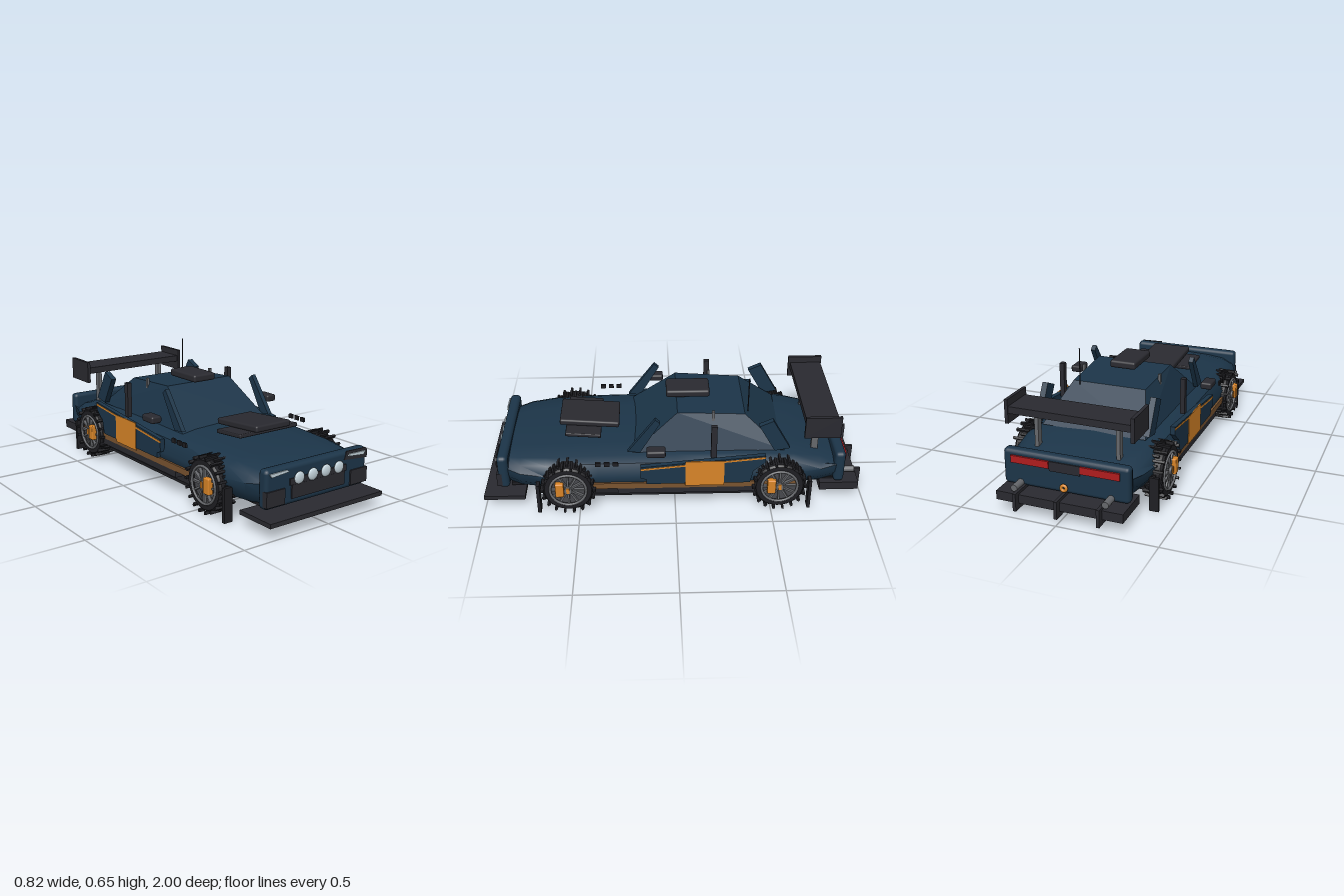
import * as THREE from 'three';
import { toCreasedNormals } from 'three/addons/utils/BufferGeometryUtils.js';
import { RoundedBoxGeometry } from 'three/addons/geometries/RoundedBoxGeometry.js';
import { ConvexGeometry } from 'three/addons/geometries/ConvexGeometry.js';

const paint = (name, color) => {
  const m = new THREE.MeshStandardMaterial({ color });
  m.name = name;
  return m;
};

export function createModel() {
  const blue = paint('deep blue', 0x1c3549), black = paint('charcoal', 0x2a2a30);
  const rubber = paint('rubber', 0x1f1f23), orange = paint('orange', 0xd98528);
  const brown = paint('bronze brown', 0x7a5430), grey = paint('metal grey', 0x66686c);
  const rimGrey = paint('rim grey', 0x48494e), lamp = paint('lamp white', 0xc6d6de);
  const red = paint('tail red', 0xb01c1e);
  const car = new THREE.Group();
  car.name = 'rallyCar';

  const add = (name, geo, mat, x = 0, y = 0, z = 0, parent = car) => {
    const m = new THREE.Mesh(geo, mat);
    m.name = name;
    m.position.set(x, y, z);
    parent.add(m);
    return m;
  };
  // box given by its min and max on each axis
  const span = (name, mat, x0, x1, y0, y1, z0, z1, r = 0) => {
    const s = [x1 - x0, y1 - y0, z1 - z0];
    const geo = r ? new RoundedBoxGeometry(...s, 2, r) : new THREE.BoxGeometry(...s);
    return add(name, geo, mat, (x0 + x1) / 2, (y0 + y1) / 2, (z0 + z1) / 2);
  };
  // the same box on both sides
  const pair = (name, mat, x0, x1, ...rest) => {
    span(name + 'Left', mat, x0, x1, ...rest);
    span(name + 'Right', mat, -x1, -x0, ...rest);
  };
  // side outline of [z, y] points, given a thickness along x
  const sidePanel = (name, mat, pts, x, thick) => {
    const geo = new THREE.ExtrudeGeometry(new THREE.Shape(pts.map(p => new THREE.Vector2(...p))),
      { depth: thick, bevelEnabled: false });
    geo.translate(0, 0, -thick / 2).rotateY(-Math.PI / 2);
    add(name, geo, mat, x);
  };

  // body shell: cross-sections [z, half width, top, bottom] from nose to tail
  const stations = [[0.875, 0.305, 0.275, 0.13], [0.8, 0.34, 0.29, 0.12], [0.67, 0.362, 0.3, 0.115],
    [0.4, 0.368, 0.31, 0.11], [0, 0.37, 0.315, 0.11], [-0.4, 0.37, 0.315, 0.11],
    [-0.62, 0.362, 0.3, 0.115], [-0.76, 0.34, 0.275, 0.12], [-0.85, 0.315, 0.25, 0.13]];
  const ring = ([z, w, t, b]) => {
    const half = [[0.5, t - 0.004], [0.8, t - 0.015], [0.92, t - 0.035], [1, b + 0.1], [0.98, b + 0.05], [0.86, b]];
    const left = half.map(([k, y]) => [-k * w, y, z]);
    const right = half.map(([k, y]) => [k * w, y, z]).reverse();
    return [[0, t + 0.002, z], ...left, ...right];
  };
  const n = 13, last = (stations.length - 1) * n, idx = [];
  for (let i = 0; i < stations.length - 1; i++) for (let j = 0; j < n; j++) {
    const a = i * n + j, b = i * n + (j + 1) % n;
    idx.push(a, a + n, b, b, a + n, b + n);
  }
  for (let j = 1; j < n - 1; j++) idx.push(0, j, j + 1, last, last + j + 1, last + j);
  const shell = new THREE.BufferGeometry();
  shell.setAttribute('position', new THREE.Float32BufferAttribute(stations.flatMap(s => ring(s).flat()), 3));
  shell.setIndex(idx);
  add('bodyShell', toCreasedNormals(shell, 0.7), blue);

  // cabin
  const cabin = [];
  for (const s of [-1, 1]) for (const [x, y, z] of [[0.275, 0.3, 0.22], [0.205, 0.495, -0.015],
    [0.195, 0.475, -0.365], [0.275, 0.3, -0.57]]) cabin.push(new THREE.Vector3(s * x, y, z));
  add('cabin', new ConvexGeometry(cabin), blue);
  span('roofScoop', black, -0.07, 0.07, 0.502, 0.542, -0.19, 0.04, 0.012);
  add('antenna', new THREE.CylinderGeometry(0.003, 0.003, 0.19, 8), rubber, 0.15, 0.56, -0.385);

  // nose and tail caps
  span('noseCap', blue, -0.318, 0.318, 0.115, 0.305, 0.865, 0.922, 0.02);
  span('tailCap', blue, -0.32, 0.32, 0.12, 0.3, -0.89, -0.835, 0.02);

  // nose details
  span('grille', black, -0.167, 0.167, 0.145, 0.212, 0.9, 0.929);
  span('lampBar', black, -0.178, 0.178, 0.212, 0.243, 0.9, 0.928);
  pair('noseVent', black, 0.208, 0.318, 0.13, 0.205, 0.9, 0.929);
  for (const x of [-0.125, -0.042, 0.042, 0.125])
    add('spotLamp', new THREE.SphereGeometry(0.03, 20, 12), lamp, x, 0.24, 0.93).scale.z = 0.35;
  const plate = (name, mat, pts, z, flip) => {
    const geo = new THREE.ExtrudeGeometry(new THREE.Shape(pts.map(([x, y]) => new THREE.Vector2(x * flip, y))),
      { depth: 0.006, bevelEnabled: false });
    add(name, geo, mat, 0, 0, z);
  };
  for (const s of [1, -1])
    plate('headlight', lamp, [[0.187, 0.28], [0.29, 0.271], [0.302, 0.288], [0.197, 0.29]], 0.924, s);
  plate('headlightSurround', black, [[0.165, 0.264], [0.318, 0.25], [0.318, 0.29], [0.305, 0.302], [0.18, 0.305]], 0.918, 1);

  // hood intake, tilted up towards the nose
  span('hoodIntakeBase', black, -0.185, 0.185, 0.338, 0.358, 0.385, 0.572, 0.005).rotation.x = -0.08;
  span('hoodIntake', black, -0.11, 0.11, 0.355, 0.388, 0.29, 0.605, 0.01).rotation.x = -0.08;

  // splitter, floor, skirts and flaps
  span('frontSplitter', black, -0.355, 0.355, 0.068, 0.09, 0.785, 1);
  span('floor', rubber, -0.33, 0.33, 0.065, 0.08, -0.62, 0.6);
  span('underTray', rubber, -0.28, 0.28, 0.107, 0.125, -0.84, 0.86);
  pair('skirt', black, 0.3, 0.374, 0.11, 0.143, -0.64, 0.3);
  pair('mudFlapFront', rubber, 0.345, 0.392, 0.008, 0.18, 0.702, 0.72);
  pair('mudFlapRear', rubber, 0.345, 0.392, 0.008, 0.18, -0.708, -0.692);

  // diffuser and tail details
  span('diffuser', black, -0.32, 0.32, 0.07, 0.115, -0.97, -0.765);
  for (const x of [-0.21, 0, 0.21]) span('diffuserFin', black, x - 0.008, x + 0.008, 0.042, 0.13, -1, -0.84);
  pair('tailLight', red, 0.08, 0.275, 0.237, 0.273, -0.9, -0.888);
  span('tailPanel', black, -0.078, 0.078, 0.225, 0.273, -0.896, -0.888);
  add('towHook', new THREE.TorusGeometry(0.013, 0.008, 8, 16), orange, 0, 0.155, -0.905);

  // rear wing
  span('wingBlade', black, -0.315, 0.315, 0.455, 0.49, -0.84, -0.67);
  pair('wingEndPlate', black, 0.308, 0.325, 0.405, 0.525, -0.845, -0.66);
  pair('wingPost', grey, 0.2, 0.22, 0.24, 0.46, -0.755, -0.72);

  // sides
  for (const s of [1, -1]) {
    sidePanel('door', blue, [[0.18, 0.282], [-0.46, 0.342], [-0.46, 0.3], [-0.4, 0.25], [-0.385, 0.177],
      [0.15, 0.177], [0.15, 0.205], [0.18, 0.215]], s * 0.372, 0.026);
    sidePanel('doorStripe', orange, [[0.18, 0.262], [0.18, 0.272], [-0.46, 0.335], [-0.46, 0.325]], s * 0.385, 0.004);
    span('doorPanel', orange, s * 0.385 - 0.003, s * 0.385 + 0.003, 0.165, 0.315, -0.25, -0.05);
    span('sillStripe', brown, s * 0.367 - 0.008, s * 0.367 + 0.008, 0.143, 0.176, -0.65, 0.43);
    sidePanel('frontPillarFin', blue, [[0.245, 0.32], [0.18, 0.315], [0.075, 0.49], [0.1, 0.512]], s * 0.285, 0.025);
    sidePanel('rearPillarFin', blue, [[-0.515, 0.315], [-0.595, 0.33], [-0.5, 0.497], [-0.43, 0.465]], s * 0.287, 0.03);
    for (const z of [0.305, 0.35, 0.395])
      span('fenderVent', rubber, s * 0.385 - 0.005, s * 0.385 + 0.005, 0.295, 0.318, z - 0.014, z + 0.014);
    const pipe = add('tailPipe', new THREE.CylinderGeometry(0.017, 0.017, 0.09, 16), grey, s * 0.23, 0.138, -0.915);
    pipe.rotation.x = Math.PI / 2;
  }
  pair('mirror', black, 0.35, 0.41, 0.355, 0.392, 0.05, 0.147, 0.01);
  pair('sidePost', black, 0.325, 0.35, 0.31, 0.497, -0.212, -0.182);
  pair('rollBarPost', grey, 0.203, 0.218, 0.34, 0.505, -0.207, -0.192);

  // wheels: axis along x, built for the left side and turned for the right
  const buildWheel = () => {
    const w = new THREE.Group();
    const tyre = new THREE.LatheGeometry([[0.095, -0.045], [0.122, -0.045], [0.131, -0.035], [0.131, 0.035],
      [0.122, 0.045], [0.095, 0.045], [0.095, -0.045]].map(p => new THREE.Vector2(...p)), 32);
    add('tyre', toCreasedNormals(tyre, 0.6).rotateZ(-Math.PI / 2), rubber, 0, 0, 0, w);
    for (let i = 0; i < 36; i++) {
      const a = i / 36 * Math.PI * 2;
      const knob = add('tread', new THREE.BoxGeometry(0.07, 0.016, 0.012), rubber,
        i % 2 ? 0.02 : -0.015, Math.cos(a) * 0.135, Math.sin(a) * 0.135, w);
      knob.rotation.x = a;
    }
    add('rimRing', new THREE.TorusGeometry(0.093, 0.007, 8, 32).rotateY(Math.PI / 2), grey, 0.046, 0, 0, w);
    add('rimDisc', new THREE.CylinderGeometry(0.095, 0.095, 0.06, 32).rotateZ(Math.PI / 2), rimGrey, 0, 0, 0, w);
    add('hub', new THREE.CylinderGeometry(0.022, 0.022, 0.03, 16).rotateZ(Math.PI / 2), grey, 0.042, 0, 0, w);
    for (let i = 0; i < 12; i++) {
      const a = i / 12 * Math.PI * 2;
      const spoke = add('spoke', new THREE.BoxGeometry(0.02, 0.08, 0.01), grey,
        0.036, Math.cos(a) * 0.055, Math.sin(a) * 0.055, w);
      spoke.rotation.x = a;
    }
    return w;
  };
  for (const s of [1, -1]) for (const z of [0.555, -0.54]) {
    const wheel = buildWheel();
    wheel.name = (z > 0 ? 'front' : 'rear') + 'Wheel' + (s > 0 ? 'Left' : 'Right');
    wheel.position.set(s * 0.345, 0.15, z);
    if (s < 0) wheel.rotation.y = Math.PI;
    car.add(wheel);
    const c = z + 0.043;
    span('brakeCaliper', orange, s * 0.396 - 0.015, s * 0.396 + 0.015, 0.118, 0.2, c - 0.022, c + 0.022, 0.006);
    span('hubCap', orange, s * 0.4 - 0.006, s * 0.4 + 0.006, 0.138, 0.17, z - 0.008, z + 0.008);
  }
  return car;
}
